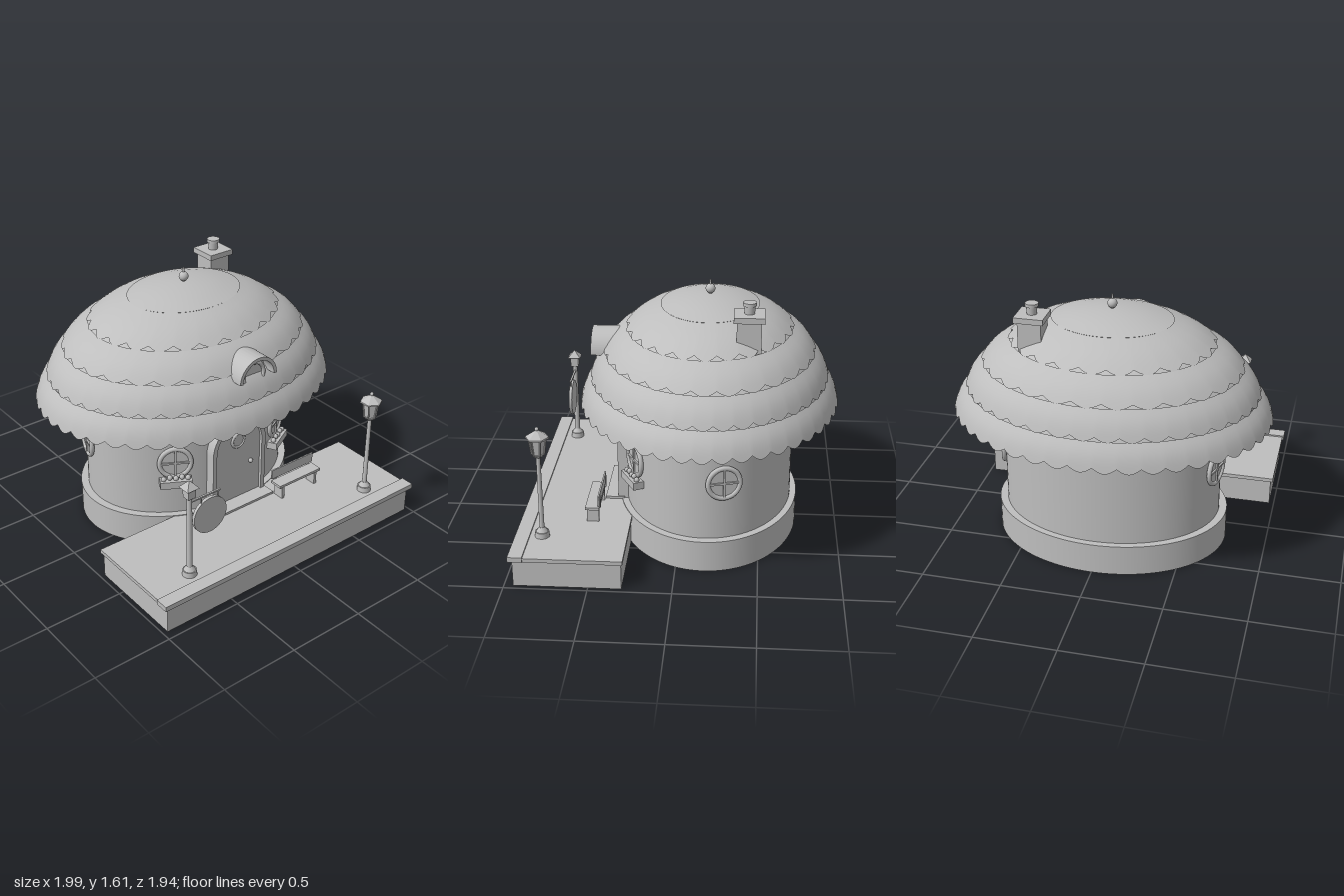
import * as THREE from 'three';
import { toCreasedNormals } from 'three/addons/utils/BufferGeometryUtils.js';

const CZ = -0.17;            // centre of the oval house
const WALL = [0.69, 0.53];   // wall radii in x and z
const ROOF_Z = 0.81;         // roof depth relative to its width

export function createModel() {
  const root = new THREE.Group();
  const grey = new THREE.MeshStandardMaterial({ color: 0xbebebe, side: THREE.DoubleSide });
  grey.name = 'plainGrey';

  const add = (name, geo, x = 0, y = 0, z = 0, parent = root) => {
    const m = new THREE.Mesh(geo, grey);
    m.name = name;
    m.position.set(x, y, z);
    parent.add(m);
    return m;
  };
  const group = (name, x = 0, y = 0, z = 0) => {
    const g = new THREE.Group();
    g.name = name;
    g.position.set(x, y, z);
    root.add(g);
    return g;
  };
  // box given by its limits
  const box = (name, x0, x1, y0, y1, z0, z1, parent = root) =>
    add(name, new THREE.BoxGeometry(x1 - x0, y1 - y0, z1 - z0), (x0 + x1) / 2, (y0 + y1) / 2, (z0 + z1) / 2, parent);
  // upright cylinder between two heights
  const post = (name, rTop, rBottom, y0, y1, parent, sides = 24) => {
    let geo = new THREE.CylinderGeometry(rTop, rBottom, y1 - y0, sides);
    if (sides < 10) {
      geo = geo.toNonIndexed();
      geo.computeVertexNormals();
    }
    return add(name, geo, 0, (y0 + y1) / 2, 0, parent);
  };
  const disc = (r, depth) => new THREE.CylinderGeometry(r, r, depth, 48).rotateX(Math.PI / 2);
  const oval = (name, rx, rz, y0, y1) =>
    add(name, new THREE.CylinderGeometry(1, 1, y1 - y0, 96).scale(rx, 1, rz), 0, (y0 + y1) / 2, CZ);

  // oval foundation, wall and eaves band
  oval('foundation', 0.74, 0.57, 0, 0.2);
  oval('wall', WALL[0], WALL[1], 0.2, 0.9);
  oval('wallBand', 0.70, 0.54, 0.815, 0.92);

  // porch
  box('porchBase', -0.97, 0.97, 0, 0.172, 0.3, 0.945);
  box('porchFloor', -0.985, 0.985, 0.17, 0.195, 0.29, 0.95);
  box('porchNosing', -0.995, 0.995, 0.173, 0.205, 0.88, 0.967);

  // roof: hidden dome, soffit and overlapping scalloped courses
  const profile = [[0.985, 0.85], [0.905, 1.015], [0.80, 1.18], [0.63, 1.325], [0.37, 1.46]];
  const inner = [[0.955, 0.868], ...profile.slice(1).map(([r, y]) => [r - 0.02, y - 0.01]), [0, 1.5]];
  add('roofLining', new THREE.LatheGeometry(inner.map(p => new THREE.Vector2(...p)), 96).scale(1, 1, ROOF_Z), 0, 0, CZ);
  oval('soffit', 0.90, 0.90 * ROOF_Z, 0.985, 0.995);

  const course = ([r0, y0], [r1, y1], count, drop, flare) => {
    const steps = count * 10, rows = 7, pos = [], idx = [];
    for (let j = 0; j < rows; j++) {
      for (let i = 0; i <= steps; i++) {
        const a = (i / steps) * Math.PI * 2;
        const lift = drop * (1 - Math.abs(Math.cos(a * count / 2))) / (y1 - y0);
        const k = Math.max(0, j - 1) / (rows - 2);
        const u = lift * (1 - k) + k;
        const bulge = 0.012 * Math.sin(Math.PI * u);
        const r = r0 + (r1 - r0) * u + bulge + flare * (1 - k) - (j === 0 ? 0.03 : 0);
        pos.push(Math.sin(a) * r, y0 + (y1 - y0) * u + bulge, Math.cos(a) * r * ROOF_Z);
        if (j && i) {
          const d = j * (steps + 1) + i, b = d - steps - 1;
          idx.push(b - 1, b, d, b - 1, d, d - 1);
        }
      }
    }
    const geo = new THREE.BufferGeometry();
    geo.setAttribute('position', new THREE.Float32BufferAttribute(pos, 3));
    geo.setIndex(idx);
    return toCreasedNormals(geo, 0.7);
  };
  [44, 40, 28, 24].forEach((count, i) =>
    add('shingleCourse' + (i + 1), course(profile[i], profile[i + 1], count, [0.025, 0.022, 0.02, 0.018][i], 0.012), 0, 0, CZ));

  // crown cap and finial
  const cap = [[0.35, 1.45], [0.375, 1.463], [0.28, 1.489], [0.18, 1.508], [0.08, 1.518], [0, 1.52]];
  add('roofCap', toCreasedNormals(new THREE.LatheGeometry(cap.map(p => new THREE.Vector2(...p)), 72), 0.7).scale(1, 1, ROOF_Z), 0, 0, CZ);
  const finial = group('finial', 0, 0, CZ);
  post('finialRod', 0.006, 0.009, 1.51, 1.61, finial, 12);
  add('finialBall', new THREE.SphereGeometry(0.03, 24, 16), 0, 1.553, 0, finial);

  // chimney
  const chimney = group('chimney', 0.425, 0, -0.415);
  box('chimneyStack', -0.072, 0.072, 1.25, 1.52, -0.072, 0.072, chimney);
  box('chimneyCap', -0.09, 0.09, 1.51, 1.545, -0.09, 0.09, chimney);
  post('chimneyPot', 0.034, 0.03, 1.545, 1.6, chimney);
  post('chimneyPotRim', 0.04, 0.04, 1.593, 1.613, chimney);

  // dormer: half-round hood over a round window
  const hood = new THREE.Shape();
  hood.absarc(0, 0, 0.14, 0, Math.PI, false);
  hood.absarc(0, 0, 0.118, Math.PI, 0, true);
  add('dormerHood', toCreasedNormals(new THREE.ExtrudeGeometry(hood, { depth: 0.3, bevelEnabled: false, curveSegments: 32 }), 0.5), 0, 1.15, 0.26);
  add('dormerFace', disc(0.118, 0.1), 0, 1.15, 0.42);
  add('dormerFrame', new THREE.TorusGeometry(0.078, 0.012, 10, 40), 0, 1.16, 0.51);
  add('dormerGlass', disc(0.075, 0.03), 0, 1.16, 0.485);

  // arched door with frame, round window, knob and step
  const arch = (C, w, top) => {
    const s = new C();
    s.moveTo(-w, 0.2);
    s.lineTo(w, 0.2);
    s.lineTo(w, top - w);
    s.absarc(0, top - w, w, 0, Math.PI, false);
    s.lineTo(-w, 0.2);
    return s;
  };
  const slab = (shape, depth) => toCreasedNormals(
    new THREE.ExtrudeGeometry(shape, { depth, bevelEnabled: false, curveSegments: 32 }), 0.5);
  const frame = arch(THREE.Shape, 0.21, 0.8);
  frame.holes.push(arch(THREE.Path, 0.18, 0.77));
  add('doorFrame', slab(frame, 0.1), 0, 0, 0.3);
  add('door', slab(arch(THREE.Shape, 0.182, 0.772), 0.08), 0, 0, 0.3);
  add('doorWindowFrame', new THREE.TorusGeometry(0.047, 0.009, 10, 40), 0, 0.635, 0.382);
  add('doorWindowGlass', disc(0.045, 0.008), 0, 0.635, 0.381);
  add('doorKnob', new THREE.SphereGeometry(0.015, 16, 12), 0.1, 0.45, 0.39);
  box('doorStep', -0.22, 0.22, 0.19, 0.21, 0.36, 0.48);

  // round windows turned to follow the oval wall
  const roundWindow = (name, x, side, planter) => {
    const dz = side * WALL[1] * Math.sqrt(1 - (x / WALL[0]) ** 2);
    const w = group(name, x, 0.572, CZ + dz);
    w.rotation.y = Math.atan2(x / WALL[0] ** 2, dz / WALL[1] ** 2);
    add('windowFrame', new THREE.TorusGeometry(0.098, 0.015, 12, 48), 0, 0, 0.008, w);
    add('windowGlass', disc(0.095, 0.02), 0, 0, 0, w);
    box('windowBarUpright', -0.006, 0.006, -0.095, 0.095, 0, 0.02, w);
    box('windowBarLevel', -0.095, 0.095, -0.006, 0.006, 0, 0.02, w);
    if (!planter) return;
    box('flowerBox', -0.1, 0.1, -0.157, -0.108, -0.01, 0.06, w);
    for (let i = 0; i < 5; i++)
      add('flower', new THREE.SphereGeometry(0.017, 12, 8), -0.076 + i * 0.038, -0.1 + (i % 2) * 0.008, 0.03, w);
  };
  for (const s of [-1, 1]) {
    roundWindow('frontWindow', s * 0.4, 1, true);
    roundWindow('sideWindow', s * 0.673, -1, false);
  }

  // bench
  const bench = group('bench');
  box('benchSeat', 0.2, 0.545, 0.285, 0.302, 0.48, 0.567, bench);
  box('benchBack', 0.2, 0.545, 0.315, 0.38, 0.478, 0.488, bench);
  for (const x of [0.225, 0.5]) {
    box('benchLeg', x, x + 0.02, 0.19, 0.29, 0.485, 0.56, bench);
    box('benchBackPost', x, x + 0.02, 0.29, 0.37, 0.474, 0.482, bench);
  }

  // lamp post with six-sided lantern
  const foot = g => {
    post('postFoot', 0.042, 0.045, 0.19, 0.23, g);
    post('postCollar', 0.017, 0.036, 0.23, 0.258, g);
  };
  const lamp = group('lampPost', 0.715, 0, 0.805);
  foot(lamp);
  post('lampPole', 0.013, 0.015, 0.25, 0.74, lamp);
  post('lanternBase', 0.042, 0.026, 0.73, 0.75, lamp, 6);
  post('lanternGlass', 0.048, 0.034, 0.75, 0.86, lamp, 6);
  for (let i = 0; i < 6; i++) {
    const a = i * Math.PI / 3;
    const edge = new THREE.LineCurve3(
      new THREE.Vector3(Math.sin(a) * 0.038, 0.745, Math.cos(a) * 0.038),
      new THREE.Vector3(Math.sin(a) * 0.053, 0.86, Math.cos(a) * 0.053));
    add('lanternBar', new THREE.TubeGeometry(edge, 1, 0.005, 6), 0, 0, 0, lamp);
  }
  post('lanternEave', 0.07, 0.07, 0.85, 0.86, lamp, 6);
  post('lanternRoof', 0.008, 0.07, 0.86, 0.9, lamp, 6);
  add('lanternBall', new THREE.SphereGeometry(0.012, 16, 12), 0, 0.908, 0, lamp);

  // sign post with hanging round board
  const sign = group('signPost', -0.7, 0, 0.8);
  foot(sign);
  post('signPole', 0.016, 0.018, 0.25, 0.75, sign);
  box('signPostHead', -0.026, 0.026, 0.74, 0.81, -0.026, 0.026, sign);
  post('signPostRoof', 0.004, 0.06, 0.805, 0.85, sign, 4).rotation.y = Math.PI / 4;
  box('signArm', 0, 0.22, 0.698, 0.708, -0.006, 0.006, sign);
  add('signBoard', disc(0.118, 0.02), 0.145, 0.56, 0, sign);
  for (const x of [0.085, 0.205]) box('signHanger', x - 0.003, x + 0.003, 0.65, 0.7, -0.003, 0.003, sign);

  return root;
}
